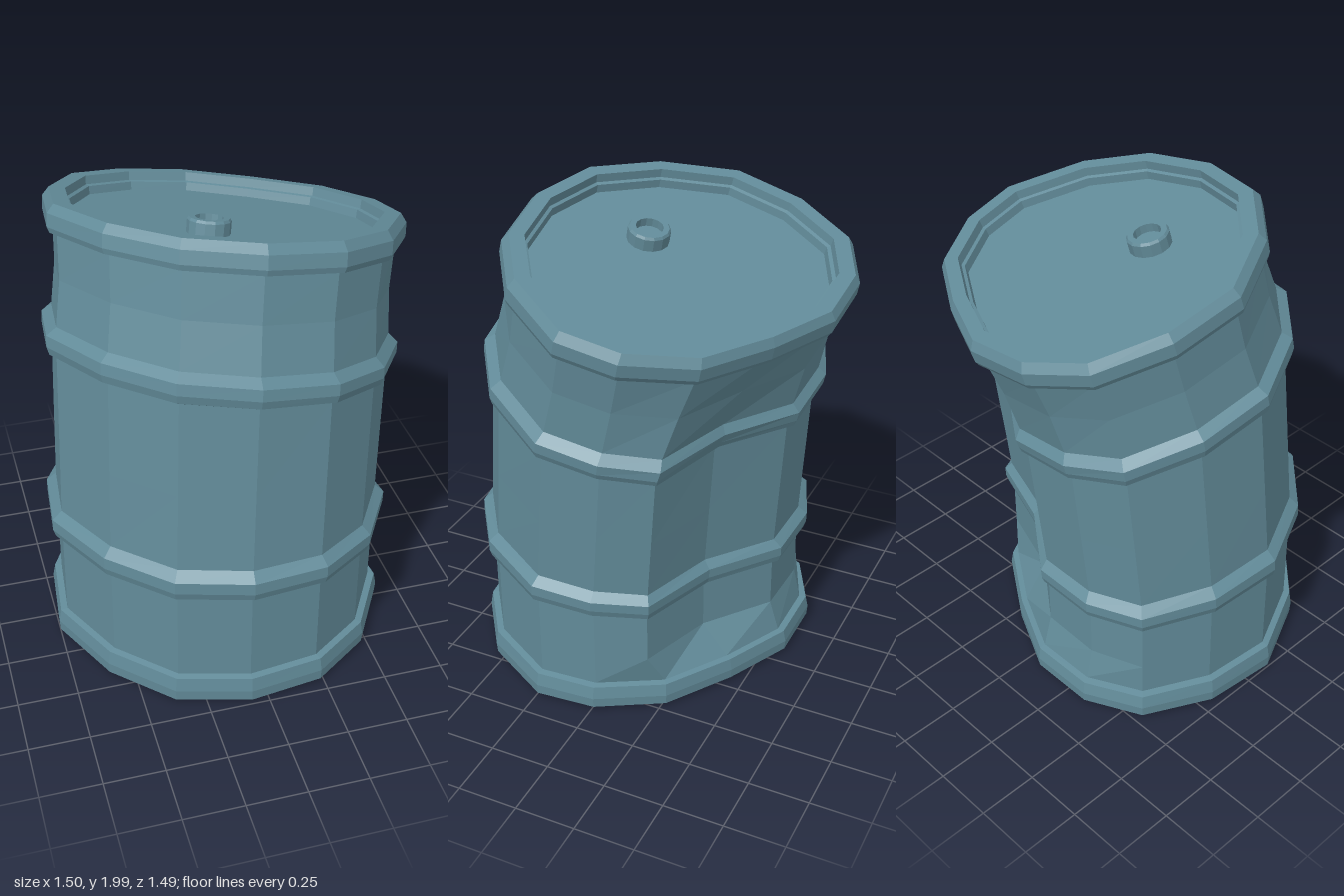
import * as THREE from 'three';

// Barrel outline (x, z offsets from the axis), clockwise seen from above
const OUTLINE = [
  [0.70, 0.15], [0.53, 0.43], [0.29, 0.59], [-0.02, 0.63], [-0.32, 0.55], [-0.55, 0.33], [-0.70, 0.03],
  [-0.67, -0.27], [-0.53, -0.53], [-0.30, -0.64], [-0.02, -0.64], [0.26, -0.51], [0.53, -0.34], [0.68, -0.09],
];
// Dent at the back left: push (x, z) for some outline corners
const DENT = { 9: [0, 0.03], 10: [0, 0.04], 11: [0, 0.11], 12: [0.06, 0.05] };

// Bend of the barrel: height, slope in x, slope in z, axis x, axis z, z stretch
const BEND = [
  [0, 0, 0, -0.055, 0.085, 1.05],
  [0.55, -0.035, 0.07, -0.05, 0.085, 1.05],
  [1.31, -0.15, 0.20, -0.01, 0.02, 1.03],
  [1.867, -0.14, 0.217, 0.05, -0.115, 1.0],
];

function bendAt(h) {
  let i = 0;
  while (i < BEND.length - 2 && h > BEND[i + 1][0]) i++;
  const a = BEND[i], b = BEND[i + 1], t = (h - a[0]) / (b[0] - a[0]);
  return a.map((v, k) => v + (b[k] - v) * t);
}

// How deep the dent is at a given height
function dentAt(h) {
  const up = THREE.MathUtils.clamp((h - 0.13) / 0.12, 0, 1);
  const down = THREE.MathUtils.clamp((1.74 - h) / 0.45, 0, 1);
  return Math.min(up, down);
}

// Flat-faced loft through [height, scale] rings, listed from below, round the outside, to the top
function loft(rows) {
  const n = OUTLINE.length, pos = [];
  const rings = rows.map(([h, s]) => {
    const [a, bx, bz, cx, cz, sz] = bendAt(h), d = dentAt(h);
    return OUTLINE.map(([ox, oz], j) => {
      const push = DENT[j] || [0, 0];
      const x = cx + ox * s + push[0] * d * (s > 0 ? 1 : 0);
      const z = cz + oz * s * sz + push[1] * d * (s > 0 ? 1 : 0);
      return [x, a + bx * x + bz * z, z];
    });
  });
  for (let i = 0; i < rows.length - 1; i++) {
    for (let j = 0; j < n; j++) {
      const k = (j + 1) % n;
      const p = rings[i][j], q = rings[i][k], r = rings[i + 1][j], t = rings[i + 1][k];
      if (rows[i][1] > 0) pos.push(...p, ...r, ...q);
      if (rows[i + 1][1] > 0) pos.push(...q, ...r, ...t);
    }
  }
  const g = new THREE.BufferGeometry();
  g.setAttribute('position', new THREE.Float32BufferAttribute(pos, 3));
  g.computeVertexNormals();
  return g;
}

export function createModel() {
  const group = new THREE.Group();
  group.name = 'dentedBarrel';
  const paint = new THREE.MeshStandardMaterial({ color: 0x628b99 });
  paint.name = 'bluePaint';
  const add = (name, geometry) => {
    const mesh = new THREE.Mesh(geometry, paint);
    mesh.name = name;
    group.add(mesh);
    return mesh;
  };
  const WALL = 0.945;

  // Recessed base and bottom rim
  add('base', loft([[0.06, 0], [0.06, 0.83]]));
  add('bottomRim', loft([[0.06, 0.83], [0.03, 0.84], [0.025, 0.87], [0, 0.88], [0, 0.95],
    [0.015, 0.995], [0.06, 1], [0.115, 0.985], [0.12, WALL]]));

  // Wall sections between the hoops
  add('lowerWall', loft([[0.12, WALL], [0.26, WALL], [0.49, WALL]]));
  add('middleWall', loft([[0.61, WALL], [0.9, WALL], [1.25, WALL]]));
  add('upperWall', loft([[1.37, WALL], [1.56, 0.93], [1.75, WALL]]));

  // Raised hoops
  for (const [name, h] of [['lowerHoop', 0.55], ['upperHoop', 1.31]]) {
    add(name, loft([[h - 0.06, WALL], [h - 0.05, 0.985], [h - 0.02, 1], [h + 0.025, 1], [h + 0.06, WALL]]));
  }

  // Top rim with its stepped inner edge, and the sunken lid
  add('topRim', loft([[1.75, WALL], [1.752, 0.985], [1.775, 1], [1.83, 1], [1.867, 0.965],
    [1.867, 0.875], [1.83, 0.87], [1.825, 0.85], [1.79, 0.845]]));
  add('lid', loft([[1.79, 0.845], [1.79, 0]]));

  // Bung standing square to the sloping lid
  const profile = [[0.085, -0.01], [0.085, 0.05], [0.078, 0.06], [0.055, 0.06], [0.055, 0.025], [0, 0.025]]
    .map(([x, y]) => new THREE.Vector2(x, y));
  const bungShape = new THREE.LatheGeometry(profile, 14).toNonIndexed();
  bungShape.computeVertexNormals();
  const bung = add('bung', bungShape);
  const [a, bx, bz] = bendAt(1.79);
  bung.position.set(-0.068, a - bx * 0.068 + bz * 0.065, 0.065);
  bung.quaternion.setFromUnitVectors(new THREE.Vector3(0, 1, 0), new THREE.Vector3(-bx, 1, -bz).normalize());

  return group;
}
